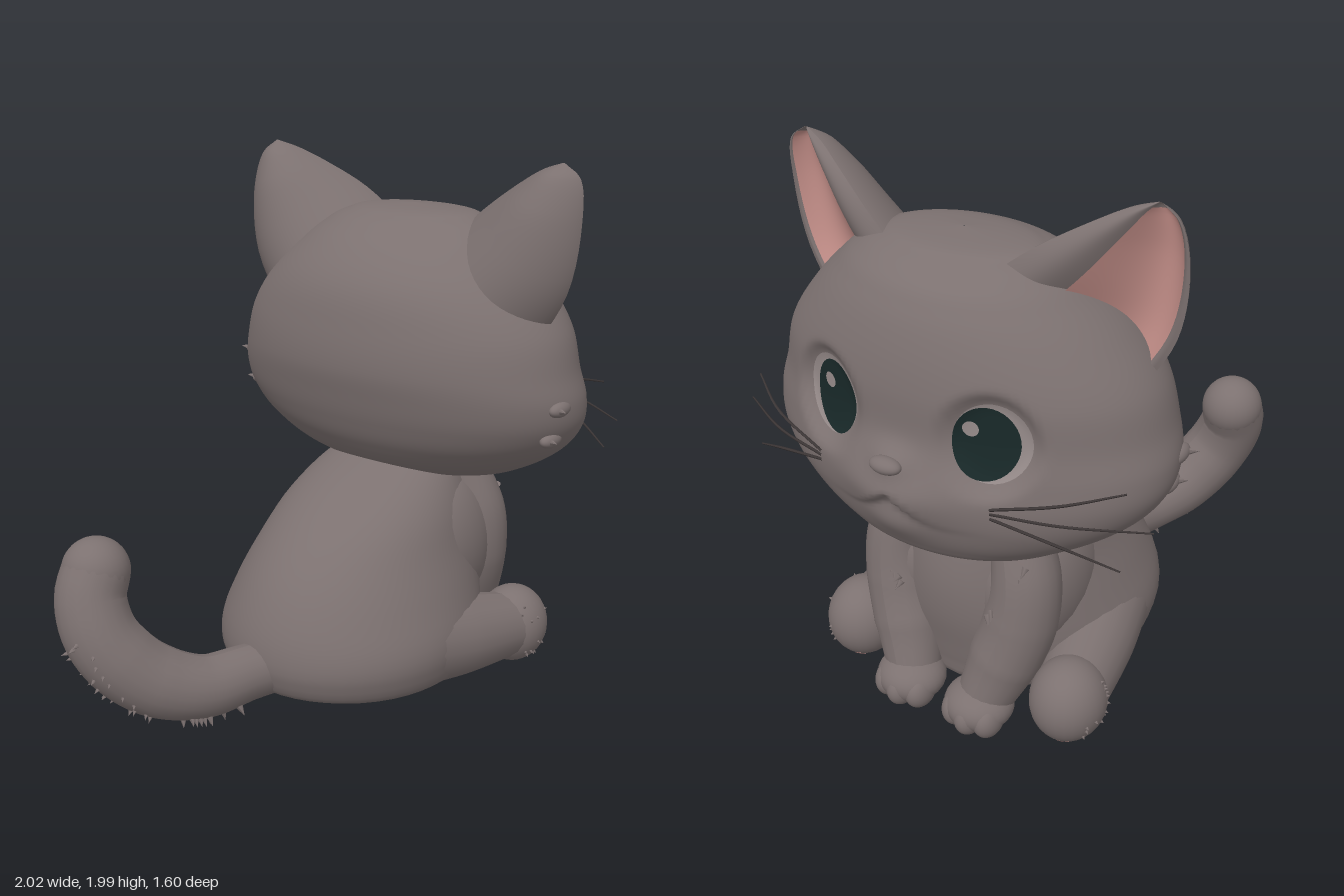
import * as THREE from 'three';
import { mergeVertices } from 'three/addons/utils/BufferGeometryUtils.js';

const V = (x, y, z) => new THREE.Vector3(x, y, z);
const mat = (name, color) => Object.assign(new THREE.MeshStandardMaterial({ color }), { name });
const gauss = (a, b) => Math.exp(-a * a - b * b);

// Surface from fn(u, v): u runs right and v runs up as seen from outside
function grid(fn, nu, nv, flip = false) {
  const pos = [], idx = [];
  for (let j = 0; j <= nv; j++)
    for (let i = 0; i <= nu; i++) pos.push(...fn(flip ? 1 - i / nu : i / nu, j / nv).toArray());
  for (let j = 0; j < nv; j++)
    for (let i = 0; i < nu; i++) {
      const a = j * (nu + 1) + i, b = a + 1, c = a + nu + 1, d = c + 1;
      idx.push(a, b, d, a, d, c);
    }
  let g = new THREE.BufferGeometry();
  g.setAttribute('position', new THREE.Float32BufferAttribute(pos, 3));
  g.setIndex(idx);
  g = mergeVertices(g, 1e-5);
  g.computeVertexNormals();
  return g;
}

// Profile rows [y, back x, front x, half width] -> smooth function of y
function profile(rows) {
  const f = new THREE.CubicInterpolant(rows.map(r => r[0]), rows.flatMap(r => r.slice(1)), 3);
  return y => Array.from(f.evaluate(y));
}

// Stack of ellipses following a profile, with optional relief on the front half
function loft(rows, nu, nv, relief = () => 0) {
  const at = profile(rows), y0 = rows[0][0], y1 = rows[rows.length - 1][0];
  return grid((u, v) => {
    const y = y0 + (y1 - y0) * (1 - Math.cos(Math.PI * v)) / 2, a = u * Math.PI * 2;
    const [xb, xf, w] = at(y), z = w * Math.cos(a), s = Math.sin(a);
    return V((xb + xf) / 2 + (xf - xb) / 2 * s + (s > 0 ? relief(y, z) : 0), y, z);
  }, nu, nv);
}

// Tube whose radius changes along the path
function taperTube(points, radii, n = 28, m = 20) {
  const curve = new THREE.CatmullRomCurve3(points.map(p => V(...p)));
  const g = new THREE.TubeGeometry(curve, n, 1, m), p = g.attributes.position, q = V();
  for (let i = 0; i <= n; i++) {
    const c = curve.getPointAt(i / n), k = i / n * (radii.length - 1), a = Math.min(Math.floor(k), radii.length - 2);
    const r = THREE.MathUtils.lerp(radii[a], radii[a + 1], k - a);
    for (let j = 0; j <= m; j++) {
      const o = i * (m + 1) + j;
      q.fromBufferAttribute(p, o).sub(c).multiplyScalar(r).add(c);
      p.setXYZ(o, q.x, q.y, q.z);
    }
  }
  g.computeVertexNormals();
  return g;
}

const HEAD = [
  [0.74, 0.635, 0.64, 0.002], [0.755, 0.5, 0.76, 0.2], [0.79, 0.36, 0.84, 0.37], [0.85, 0.22, 0.89, 0.51],
  [0.95, 0.12, 0.92, 0.66], [1.05, 0.07, 0.925, 0.735], [1.15, 0.04, 0.915, 0.75], [1.25, 0.02, 0.905, 0.725],
  [1.4, 0.03, 0.9, 0.68], [1.55, 0.07, 0.87, 0.57], [1.65, 0.14, 0.83, 0.47], [1.72, 0.22, 0.78, 0.385],
  [1.77, 0.31, 0.7, 0.29], [1.795, 0.4, 0.62, 0.18], [1.805, 0.5, 0.505, 0.002]];
const BODY = [
  [0.02, 0.1, 0.4, 0.2], [0.035, -0.12, 0.52, 0.32], [0.08, -0.32, 0.62, 0.43], [0.16, -0.39, 0.65, 0.475],
  [0.25, -0.4, 0.67, 0.485], [0.4, -0.355, 0.7, 0.44], [0.55, -0.26, 0.705, 0.385], [0.7, -0.1, 0.68, 0.335],
  [0.8, 0.06, 0.65, 0.28], [0.9, 0.28, 0.6, 0.2]];

// Muzzle, upper lips with a notched mouth edge, nose bridge, chin and eye sockets
function faceRelief(y, z) {
  const az = Math.abs(z), mouth = 1.065 - 0.1 * Math.sin(Math.min(az / 0.2, 1) * Math.PI / 2);
  const lip = THREE.MathUtils.smoothstep(y, mouth - 0.014, mouth + 0.014);
  const socket = Math.exp(-Math.pow(((y - 1.275) / 0.158) ** 2 + ((az - 0.308) / 0.145) ** 2, 4));
  return 0.025 * gauss((y - 1.06) / 0.12, z / 0.26) + 0.042 * lip * gauss((y - 1.07) / 0.1, z / 0.18)
    + 0.03 * gauss((y - 1.175) / 0.045, z / 0.07) + 0.022 * gauss((y - 0.94) / 0.06, z / 0.12) - 0.05 * socket;
}

export function createModel() {
  const root = new THREE.Group();
  root.name = 'kitten';
  const fur = mat('fur', 0x7c7170), pink = mat('innerEar', 0xc48f89), dark = mat('pupil', 0x182828);
  const pale = mat('eyeGrey', 0x958a89), wire = mat('whisker', 0x3b3535);
  const add = (name, geo, m = fur) => {
    const mesh = new THREE.Mesh(geo, m);
    mesh.name = name;
    root.add(mesh);
    return mesh;
  };
  const ball = (name, p, r) => {
    const g = new THREE.SphereGeometry(1, 28, 20);
    g.scale(...r);
    add(name, g).position.set(...p);
  };
  const spike = (name, p, dir, r, h) => {
    const mesh = add(name, new THREE.ConeGeometry(r, h, 6));
    mesh.position.copy(p);
    mesh.quaternion.setFromUnitVectors(V(0, 1, 0), dir.clone().normalize());
  };
  let seed = 7;
  const rnd = () => (seed = (seed * 16807) % 2147483647) / 2147483647;

  add('head', loft(HEAD, 144, 120, faceRelief));
  add('body', loft(BODY, 48, 36));
  const bottom = new THREE.CircleGeometry(1, 32);
  bottom.rotateX(Math.PI / 2);
  bottom.scale(0.15, 1, 0.2);
  add('belly', bottom).position.set(0.25, 0.02, 0);
  ball('nose', [0.965, 1.172, 0], [0.034, 0.028, 0.058]);

  // Eye discs that hug the head surface
  const headAt = profile(HEAD);
  const faceX = (y, z) => {
    const [xb, xf, w] = headAt(y);
    return (xb + xf) / 2 + (xf - xb) / 2 * Math.sqrt(Math.max(0, 1 - (z / w) ** 2)) + faceRelief(y, z);
  };
  const disc = (name, m, y0, z0, ry, rz, lift) => add(name, grid((u, v) => {
    const a = u * Math.PI * 2, y = y0 + ry * v * Math.cos(a), z = z0 - rz * v * Math.sin(a);
    return V(faceX(y, z) + lift, y, z);
  }, 36, 10), m);

  for (const s of [1, -1]) {
    const side = s > 0 ? 'left' : 'right';

    // Eye
    disc(side + 'Eye', pale, 1.275, s * 0.306, 0.132, 0.122, 0.006);
    disc(side + 'Pupil', dark, 1.272, s * 0.288, 0.122, 0.104, 0.011);
    disc(side + 'EyeGlint', pale, 1.315, s * 0.28 + 0.04, 0.026, 0.026, 0.015);

    // Ear: two rim curves joined by a bulging back and a front with a hollow towards the outer edge
    const curve = pts => new THREE.CatmullRomCurve3(pts.map(([x, y, z]) => V(x, y, z * s)));
    const outer = curve([[0.44, 1.3, 0.56], [0.43, 1.56, 0.715], [0.44, 1.8, 0.75], [0.46, 1.95, 0.725], [0.46, 2, 0.66]]);
    const inner = curve([[0.64, 1.68, 0.12], [0.6, 1.83, 0.31], [0.54, 1.92, 0.46], [0.49, 1.975, 0.57], [0.46, 2, 0.65]]);
    const back = V(-0.95, -0.1, -0.25 * s).normalize();
    const ear = (f, t, depth) => outer.getPoint(t).lerp(inner.getPoint(t), f).addScaledVector(back, depth);
    const hollow = (f, t) => Math.pow(1 - t, 0.6) * (f < 0.05 ? 0 : f < 0.68
      ? 0.11 * Math.sin(Math.PI * Math.pow((f - 0.05) / 0.63, 0.7)) : -0.035 * Math.sin(Math.PI * (f - 0.68) / 0.32));
    add(side + 'EarBack', grid((u, v) => {
      const a = Math.PI * (1 - u);
      return ear((1 - Math.cos(a)) / 2, v, 0.31 * Math.pow(1 - v, 0.9) * Math.pow(Math.sin(a) + 1e-9, 1.25));
    }, 24, 20, s < 0));
    add(side + 'EarRim', grid((u, v) => ear(u, v, hollow(u, v)), 40, 24, s < 0));
    add(side + 'InnerEar', grid((u, v) => {
      const f = 0.06 + 0.62 * u, t = 0.08 + 0.79 * v;
      return ear(f, t, hollow(f, t) - 0.007);
    }, 25, 20, s < 0), pink);

    // Whiskers and cheek tufts
    for (const [x, y, z] of [[0.73, 1.18, 0.72], [0.7, 1.05, 0.8], [0.76, 0.915, 0.72]]) {
      const y0 = 1.06 + (y - 1.05) * 0.12;
      add(side + 'Whisker', taperTube([[0.885, y0, 0.33 * s], [0.835, (y0 + y) / 2 + 0.01, 0.55 * s], [x, y, z * s]],
        [0.005, 0.005, 0.003], 12, 6), wire);
    }
    for (const [y, z] of [[1.15, 0.745], [1.03, 0.715]]) {
      ball(side + 'CheekTuft', [0.4, y, s * (z - 0.02)], [0.06, 0.03, 0.03]);
      spike(side + 'CheekTuft', V(0.37, y, s * z), V(-0.4, 0.1, s), 0.025, 0.07);
    }

    // Shoulder, front leg, paw and toes
    ball(side + 'Shoulder', [0.39, 0.5, 0.2 * s], [0.29, 0.3, 0.19]);
    add(side + 'FrontLeg', taperTube([[0.55, 0.8, 0.21 * s], [0.58, 0.6, 0.265 * s], [0.6, 0.42, 0.25 * s],
      [0.64, 0.25, 0.2 * s], [0.69, 0.11, 0.155 * s]], [0.1, 0.12, 0.133, 0.13, 0.1]));
    ball(side + 'FrontPaw', [0.715, 0.095, 0.148 * s], [0.122, 0.088, 0.128]);
    for (const k of [-1, 0, 1])
      ball(side + 'Toe', [0.775 - 0.02 * Math.abs(k), 0.078, s * 0.148 + k * 0.065], [0.07, 0.07, 0.052]);

    // Hind leg and foot with a thin sole pad line
    add(side + 'HindLeg', taperTube([[0.05, 0.24, 0.28 * s], [0.3, 0.2, 0.37 * s], [0.58, 0.165, 0.445 * s]], [0.19, 0.16, 0.125]));
    ball(side + 'Haunch', [0.07, 0.24, 0.28 * s], [0.2, 0.2, 0.195]);
    ball(side + 'HindFoot', [0.6, 0.165, 0.448 * s], [0.145, 0.155, 0.137]);
    add(side + 'SolePad', taperTube([-0.35, 0, 0.35].map(k => {
      const d = V(0.5, -0.87, k).normalize();
      return [0.6 + 0.145 * d.x, 0.165 + 0.155 * d.y, 0.448 * s + 0.137 * d.z];
    }), [0.003, 0.006, 0.003], 10, 6), pink);

    // Fur tufts on the foot and along the shoulder
    for (let i = 0; i < 16; i++) {
      const a = rnd() * Math.PI * 2, k = 0.25 + 0.7 * rnd(), d = V(k * Math.cos(a), k * Math.sin(a), s * Math.sqrt(1 - k * k));
      spike(side + 'FootTuft', V(0.6 + 0.145 * d.x, 0.165 + 0.155 * d.y, 0.448 * s + 0.137 * d.z), d, 0.012, 0.022);
    }
    for (let i = 0; i < 12; i++) {
      const t = i / 11;
      spike(side + 'ShoulderTuft', V(0.67 + 0.04 * t, 0.69 - 0.22 * t, s * (0.31 - 0.12 * t)), V(0.6, -0.6, s * (0.5 - rnd())), 0.014, 0.04);
    }
  }

  // Tail with ragged fur along its outer side
  const path = [[-0.25, 0.17, -0.02], [-0.4, 0.175, -0.06], [-0.6, 0.175, -0.12], [-0.76, 0.25, -0.22],
    [-0.86, 0.4, -0.32], [-0.86, 0.54, -0.375], [-0.82, 0.63, -0.385]];
  add('tail', taperTube(path, [0.1, 0.105, 0.115, 0.13, 0.135, 0.13, 0.122], 40));
  ball('tailTip', [-0.82, 0.63, -0.385], [0.122, 0.122, 0.122]);
  const line = new THREE.CatmullRomCurve3(path.map(p => V(...p)));
  for (let i = 0; i < 40; i++) {
    const t = 0.25 + 0.55 * i / 39, p = line.getPointAt(t);
    const out = V(0, 0, 1).cross(line.getTangentAt(t)).normalize();
    out.addScaledVector(V(0, 0, 1), (rnd() - 0.5) * 1.6).normalize();
    spike('tailTuft', p.addScaledVector(out, 0.118 + 0.015 * t), out, 0.018, 0.05);
  }

  // Dark patch under the tail base
  add('tailUnderside', grid((u, v) => {
    const t = 0.08 + 0.2 * v, a = (u - 0.5) * 0.9, r = 0.108 + 0.04 * t;
    const across = line.getTangentAt(t).cross(V(0, -1, 0)).normalize();
    return line.getPointAt(t).addScaledVector(V(0, -1, 0), r * Math.cos(a)).addScaledVector(across, r * Math.sin(a));
  }, 10, 10), dark);
  return root;
}
